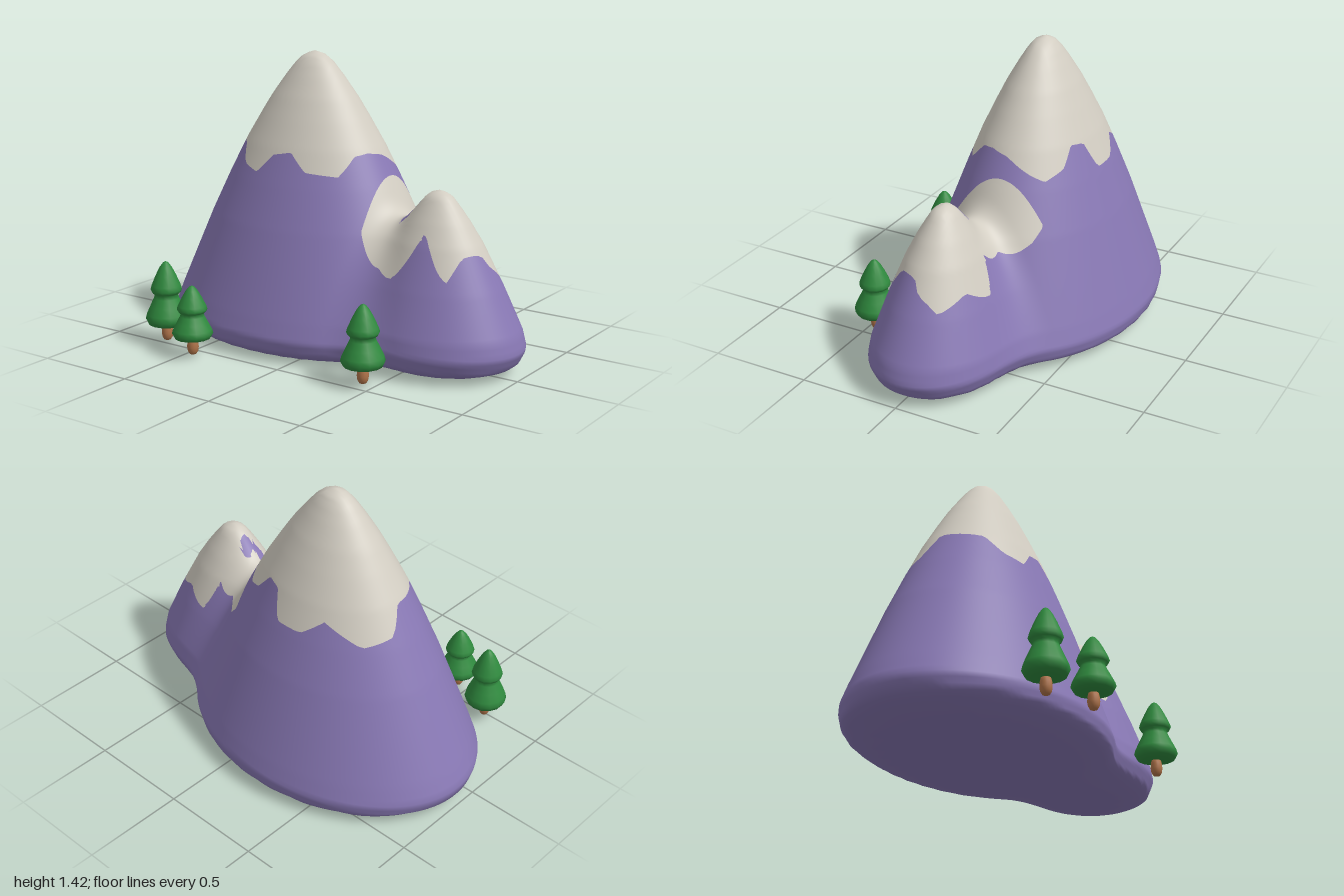
import * as THREE from 'three';

const material = (name, color) => Object.assign(new THREE.MeshStandardMaterial({ color }), { name });

// Linear interpolation through [key, value] pairs, extended past both ends
function lookup(pairs, t) {
  let i = 1;
  while (i < pairs.length - 1 && t > pairs[i][0]) i++;
  const [a, u] = pairs[i - 1], [b, v] = pairs[i];
  return u + (v - u) * (t - a) / (b - a);
}
const degrees = (z, x) => (Math.atan2(z, x) * 180 / Math.PI + 360) % 360;

// Peaks: centre, depth ratio and [height, radius] profile
const mainPeak = { x: -0.22, z: -0.12, ratio: 0.73, profile: [
  [0, 0.6], [0.02, 0.71], [0.05, 0.765], [0.11, 0.782], [0.2, 0.745], [0.4, 0.655], [0.6, 0.565],
  [0.8, 0.465], [0.97, 0.375], [1.1, 0.295], [1.2, 0.23], [1.3, 0.155], [1.36, 0.105], [1.4, 0.06], [1.42, 0]] };
const smallPeak = { x: 0.56, z: -0.015, ratio: 0.77, profile: [
  [0, 0.25], [0.02, 0.33], [0.05, 0.405], [0.12, 0.44], [0.2, 0.42], [0.4, 0.325], [0.6, 0.22],
  [0.7, 0.155], [0.76, 0.11], [0.81, 0.07], [0.83, 0.04], [0.842, 0]] };

// Mountain body: two peaks blended smoothly with a flat underside; negative inside
const peakField = (p, x, y, z) => Math.hypot(x - p.x, (z - p.z) / p.ratio) - lookup(p.profile, y);
function field(x, y, z) {
  const a = peakField(mainPeak, x, y, z), b = peakField(smallPeak, x, y, z), k = 0.2;
  const h = Math.max(k - Math.abs(a - b), 0) / k;
  return Math.max(Math.min(a, b) - h * h * k / 4, -y);
}

// Snow edges: height around the main peak, and reach around the small one
const mainSnow = [[0, 0.945], [17, 0.96], [31, 0.95], [47, 0.86], [70, 0.875], [82, 0.96], [97, 0.94], [108, 0.85],
  [124, 0.875], [139, 0.96], [180, 0.97], [194, 0.85], [219, 0.82], [244, 0.91], [260, 0.83], [278, 0.83],
  [287, 0.96], [300, 0.97], [309, 0.88], [324, 0.84], [335, 0.87], [354, 0.93], [360, 0.945]];
const smallSnow = [[0, 0.33], [6, 0.3], [27, 0.28], [45, 0.3], [53, 0.25], [65, 0.165], [107, 0.24], [127, 0.25],
  [150, 0.32], [180, 0.32], [227, 0.44], [233, 0.36], [238, 0.2], [270, 0.15], [285, 0.23], [320, 0.26],
  [343, 0.345], [360, 0.33]];
const box = (x, z, cx, cz, w, d) => Math.max(Math.abs(x - cx) - w, Math.abs(z - cz) - d);
function snowField({ x, y, z }) {
  const high = y - lookup(mainSnow, degrees((z - mainPeak.z) / mainPeak.ratio, x - mainPeak.x));
  const dx = x - 0.5, dz = z + 0.03;
  const reach = lookup(smallSnow, degrees(dz, dx)) - Math.hypot(dx, dz);
  const bare = Math.min(box(x, z, 0.45, -0.035, 0.04, 0.035), box(x, z, 0.405, 0.01, 0.035, 0.022));
  return Math.max(high, Math.min(reach, x - 0.22, y - 0.4, bare));
}

// Surface point along a ray from inside the body
const heart = new THREE.Vector3(0.1, 0.2, -0.1);
function surfacePoint(theta, phi) {
  const dir = new THREE.Vector3().setFromSphericalCoords(1, theta, phi);
  const value = t => field(heart.x + dir.x * t, heart.y + dir.y * t, heart.z + dir.z * t);
  let hi = 1.6;
  while (hi > 0.05 && value(hi - 0.025) > 0) hi -= 0.025;
  let lo = hi - 0.025;
  for (let i = 0; i < 14; i++) {
    const mid = (lo + hi) / 2;
    if (value(mid) > 0) hi = mid; else lo = mid;
  }
  const p = heart.clone().addScaledVector(dir, lo), e = 0.015;
  const normal = new THREE.Vector3(
    field(p.x + e, p.y, p.z) - field(p.x - e, p.y, p.z),
    field(p.x, p.y + e, p.z) - field(p.x, p.y - e, p.z),
    field(p.x, p.y, p.z + e) - field(p.x, p.y, p.z - e)).normalize();
  return { p, normal, snow: snowField(p) };
}

// Keep the part of a triangle on one side of the snow edge
function clip(corners, sign) {
  const out = [];
  corners.forEach((a, i) => {
    const b = corners[(i + 1) % 3];
    if (a.snow * sign >= 0) out.push(a);
    if (a.snow * b.snow < 0) {
      const t = a.snow / (a.snow - b.snow);
      out.push({ p: a.p.clone().lerp(b.p, t), normal: a.normal.clone().lerp(b.normal, t).normalize() });
    }
  });
  return out;
}

function buildMountain(rock, snow) {
  const rows = 120, cols = 180, grid = [];
  for (let j = 0; j <= rows; j++) {
    grid.push([]);
    for (let i = 0; i < cols; i++) grid[j].push(surfacePoint(Math.PI * j / rows, 2 * Math.PI * i / cols));
  }
  const group = new THREE.Group();
  group.name = 'mountain';
  for (const [name, mat, sign] of [['rockSlopes', rock, -1], ['snowCaps', snow, 1]]) {
    const positions = [], normals = [];
    const add = (...corners) => {
      const poly = clip(corners, sign);
      for (let n = 1; n < poly.length - 1; n++)
        for (const c of [poly[0], poly[n], poly[n + 1]]) {
          positions.push(...c.p.toArray());
          normals.push(...c.normal.toArray());
        }
    };
    for (let j = 0; j < rows; j++)
      for (let i = 0; i < cols; i++) {
        const k = (i + 1) % cols;
        if (j < rows - 1) add(grid[j][i], grid[j + 1][i], grid[j + 1][k]);
        if (j > 0) add(grid[j][i], grid[j + 1][k], grid[j][k]);
        else continue;
        if (j === rows - 1) continue;
      }
    const geometry = new THREE.BufferGeometry();
    geometry.setAttribute('position', new THREE.Float32BufferAttribute(positions, 3));
    geometry.setAttribute('normal', new THREE.Float32BufferAttribute(normals, 3));
    const mesh = new THREE.Mesh(geometry, mat);
    mesh.name = name;
    group.add(mesh);
  }
  return group;
}

// Pine tree: two-tiered rounded crown on a stubby trunk
const lathe = points => new THREE.LatheGeometry(points.map(([r, y]) => new THREE.Vector2(r, y)), 14);
const crownShape = lathe([[0, 0], [0.06, -0.002], [0.092, 0.01], [0.104, 0.035], [0.098, 0.06], [0.08, 0.1], [0.062, 0.14],
  [0.056, 0.158], [0.07, 0.168], [0.077, 0.183], [0.071, 0.205], [0.05, 0.255], [0.03, 0.295], [0.014, 0.317], [0, 0.325]]);
const trunkShape = lathe([[0, 0.012], [0.017, 0.016], [0.025, 0.03], [0.028, 0.05], [0.026, 0.075], [0.02, 0.1], [0, 0.105]]);
function buildTree(x, z, width, top, leaf, bark) {
  const tree = new THREE.Group();
  tree.name = 'pineTree';
  const crown = new THREE.Mesh(crownShape, leaf), trunk = new THREE.Mesh(trunkShape, bark);
  crown.name = 'crown';
  trunk.name = 'trunk';
  crown.position.y = 0.09;
  crown.scale.set(width, (top - 0.09) / 0.325, width);
  tree.add(crown, trunk);
  tree.position.set(x, 0, z);
  return tree;
}

export function createModel() {
  const model = new THREE.Group();
  model.name = 'mountainWithPines';
  const rock = material('purpleRock', 0x8878b4), snow = material('snow', 0xd2cdc2);
  const leaf = material('pineGreen', 0x2f8a3e), bark = material('bark', 0xb0744a);
  model.add(buildMountain(rock, snow));
  for (const [x, z, width, top] of [[-0.69, 0.485, 1, 0.415], [-0.445, 0.58, 0.95, 0.355], [0.45, 0.45, 1, 0.39]])
    model.add(buildTree(x, z, width, top, leaf, bark));
  return model;
}
